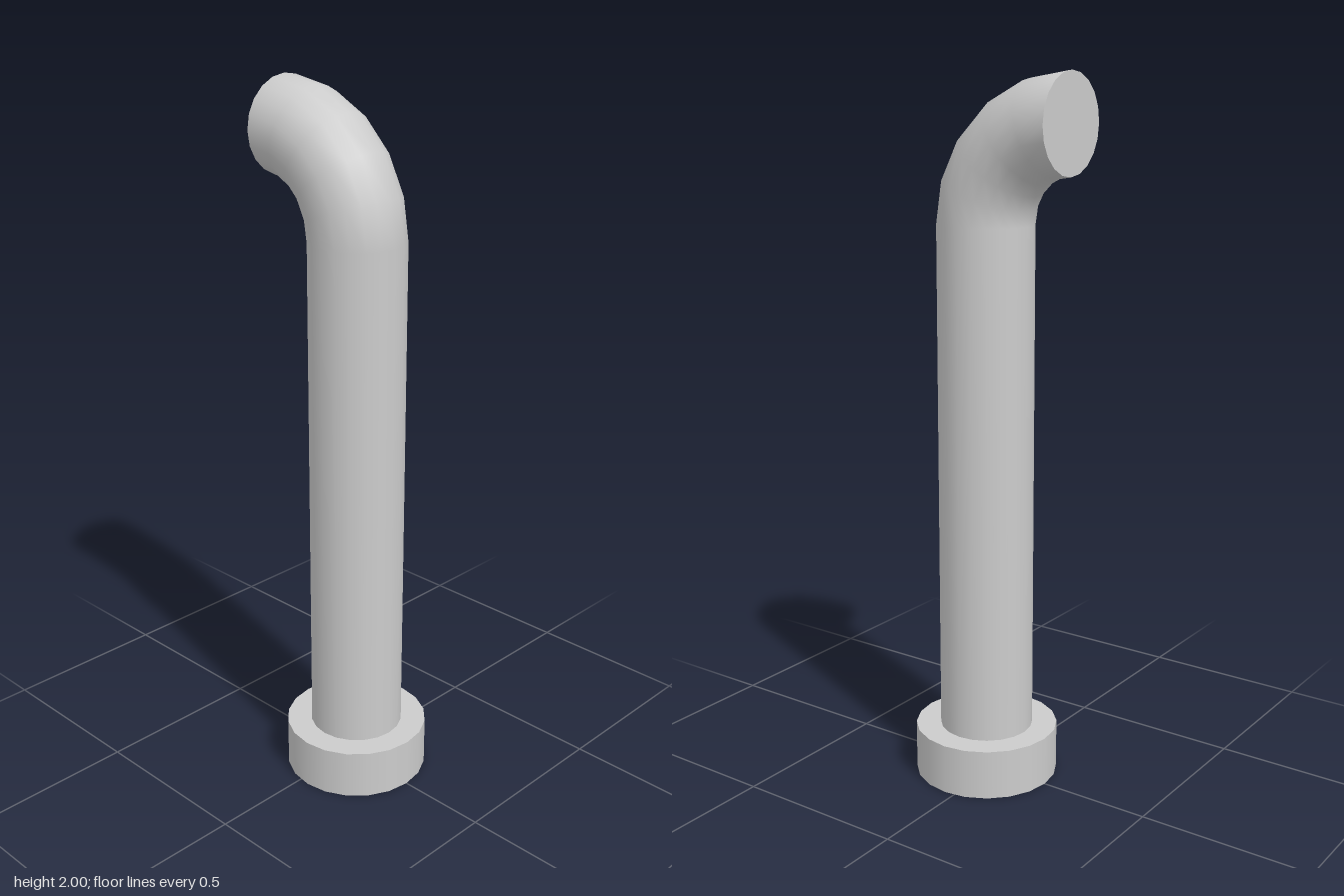
import * as THREE from 'three';

export function createModel() {
  const group = new THREE.Group();
  const material = new THREE.MeshStandardMaterial({ color: 0xcccccc });
  const sides = 20;
  const axisX = 0.031;
  const pipeRadius = 0.134;
  const bendRadius = 0.269;
  const baseHeight = 0.143;
  const bendY = 2 - bendRadius - pipeRadius;
  const endX = axisX - bendRadius;

  const add = (name, geometry, x, y) => {
    const mesh = new THREE.Mesh(geometry, material);
    mesh.name = name;
    mesh.position.set(x, y, 0);
    group.add(mesh);
    return mesh;
  };

  // Round foot
  add('base', new THREE.CylinderGeometry(0.206, 0.206, baseHeight, sides), axisX, baseHeight / 2);

  // Straight upright pipe, from the foot to the start of the bend
  const length = bendY - baseHeight;
  add('pipe', new THREE.CylinderGeometry(pipeRadius, pipeRadius, length, sides, 1, true),
    axisX, baseHeight + length / 2);

  // Quarter-turn elbow towards -x
  add('elbow', new THREE.TorusGeometry(bendRadius, pipeRadius, sides, 5, Math.PI / 2), endX, bendY);

  // Flat disc closing the outlet
  add('endCap', new THREE.CircleGeometry(pipeRadius, sides), endX, bendY + bendRadius)
    .rotation.y = -Math.PI / 2;

  return group;
}
